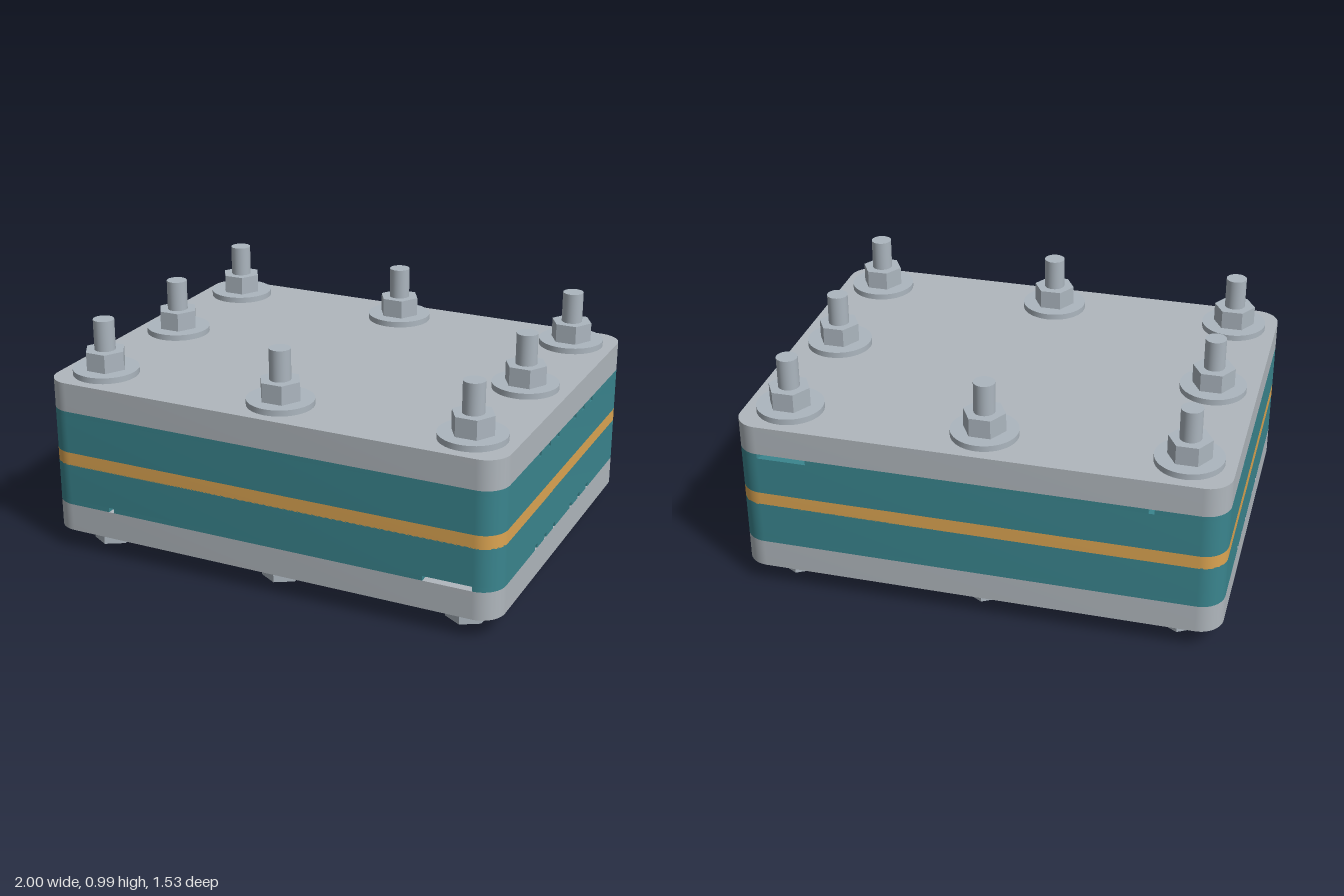
import * as THREE from 'three';
import { toCreasedNormals } from 'three/addons/utils/BufferGeometryUtils.js';

const HX = 1, HZ = 0.767, R = 0.1;

// Horizontal slab between two heights; radii in order (-x,+z), (+x,+z), (+x,-z), (-x,-z)
function slab(x0, x1, z0, z1, y0, y1, radii) {
  const s = new THREE.Shape();
  const corners = [[x0, -z1, 1, 1], [x1, -z1, -1, 1], [x1, -z0, -1, -1], [x0, -z0, 1, -1]];
  corners.forEach(([x, y, dx, dy], i) => {
    const r = radii[i], a = Math.PI * (1 + i / 2);
    if (r > 0) s.absarc(x + dx * r, y + dy * r, r, a, a + Math.PI / 2, false);
    else if (i === 0) s.moveTo(x, y);
    else s.lineTo(x, y);
  });
  s.closePath();
  const g = new THREE.ExtrudeGeometry(s, { depth: y1 - y0, bevelEnabled: false, curveSegments: 10 });
  g.rotateX(-Math.PI / 2);
  g.translate(0, y0, 0);
  return toCreasedNormals(g, 0.5);
}

function cylinder(r, y0, y1, sides) {
  const g = new THREE.CylinderGeometry(r, r, y1 - y0, sides);
  g.translate(0, (y0 + y1) / 2, 0);
  return toCreasedNormals(g, 0.5);
}

export function createModel() {
  const model = new THREE.Group();
  model.name = 'boltedCellStack';
  const mat = (name, color) => {
    const m = new THREE.MeshStandardMaterial({ color });
    m.name = name;
    return m;
  };
  const plateGrey = mat('plateGrey', 0xb0b7bd);
  const boltSteel = mat('boltSteel', 0xacb6bf);
  const teal = mat('teal', 0x3a858e);
  const amber = mat('amber', 0xdca552);
  const add = (parent, name, geometry, material) => {
    const mesh = new THREE.Mesh(geometry, material);
    mesh.name = name;
    parent.add(mesh);
    return mesh;
  };
  const all = [R, R, R, R];
  const full = (y0, y1) => slab(-HX, HX, -HZ, HZ, y0, y1, all);

  // End plates and the membrane in the middle
  add(model, 'bottomPlate', full(0.09, 0.21), plateGrey);
  add(model, 'topPlate', full(0.63, 0.755), plateGrey);
  add(model, 'membrane', full(0.39, 0.447), amber);

  // Flow plate: solid body plus a thin layer cut by channels
  const y0 = -0.21, y1 = -0.19, half = 0.012, portX = 0.707;
  const channels = [-0.325, -0.215, -0.108, 0.108, 0.215, 0.325];
  const body = full(y1, -0.027);
  const ribs = [];
  for (let i = 0; i < 5; i++) {
    ribs.push(slab(-HX, HX, channels[i] + half, channels[i + 1] - half, y0, y1, [0, 0, 0, 0]));
  }
  const zEdge = channels[5] + half;
  ribs.push(slab(-HX, HX, -HZ, -zEdge, y0, y1, [0, 0, R, R]));
  ribs.push(slab(-HX, -portX - half, zEdge, HZ, y0, y1, [R, 0, 0, 0]));
  ribs.push(slab(-portX + half, portX - half, zEdge, HZ, y0, y1, [0, 0, 0, 0]));
  ribs.push(slab(portX + half, HX, zEdge, HZ, y0, y1, [0, R, 0, 0]));
  for (const name of ['lowerFlowPlate', 'upperFlowPlate']) {
    const plate = new THREE.Group();
    plate.name = name;
    add(plate, 'flowPlateBody', body, teal);
    ribs.forEach((g) => add(plate, 'channelRib', g, teal));
    plate.position.y = 0.42;
    if (name === 'upperFlowPlate') plate.rotation.x = Math.PI;
    model.add(plate);
  }

  // Eight clamping bolts around the edge
  const head = cylinder(0.088, 0, 0.066, 6);
  const lowerWasher = cylinder(0.138, 0.066, 0.09, 40);
  const upperWasher = cylinder(0.138, 0.755, 0.78, 40);
  const nut = cylinder(0.088, 0.78, 0.86, 6).rotateY(Math.PI / 6);
  const rod = cylinder(0.044, 0.05, 0.99, 24);
  for (const x of [-0.815, 0, 0.815]) {
    for (const z of [-0.585, 0, 0.585]) {
      if (x === 0 && z === 0) continue;
      const bolt = new THREE.Group();
      bolt.name = 'bolt';
      add(bolt, 'boltHead', head, boltSteel);
      add(bolt, 'lowerWasher', lowerWasher, boltSteel);
      add(bolt, 'upperWasher', upperWasher, boltSteel);
      add(bolt, 'nut', nut, boltSteel);
      add(bolt, 'rod', rod, boltSteel);
      bolt.position.set(x, 0, z);
      model.add(bolt);
    }
  }
  return model;
}
